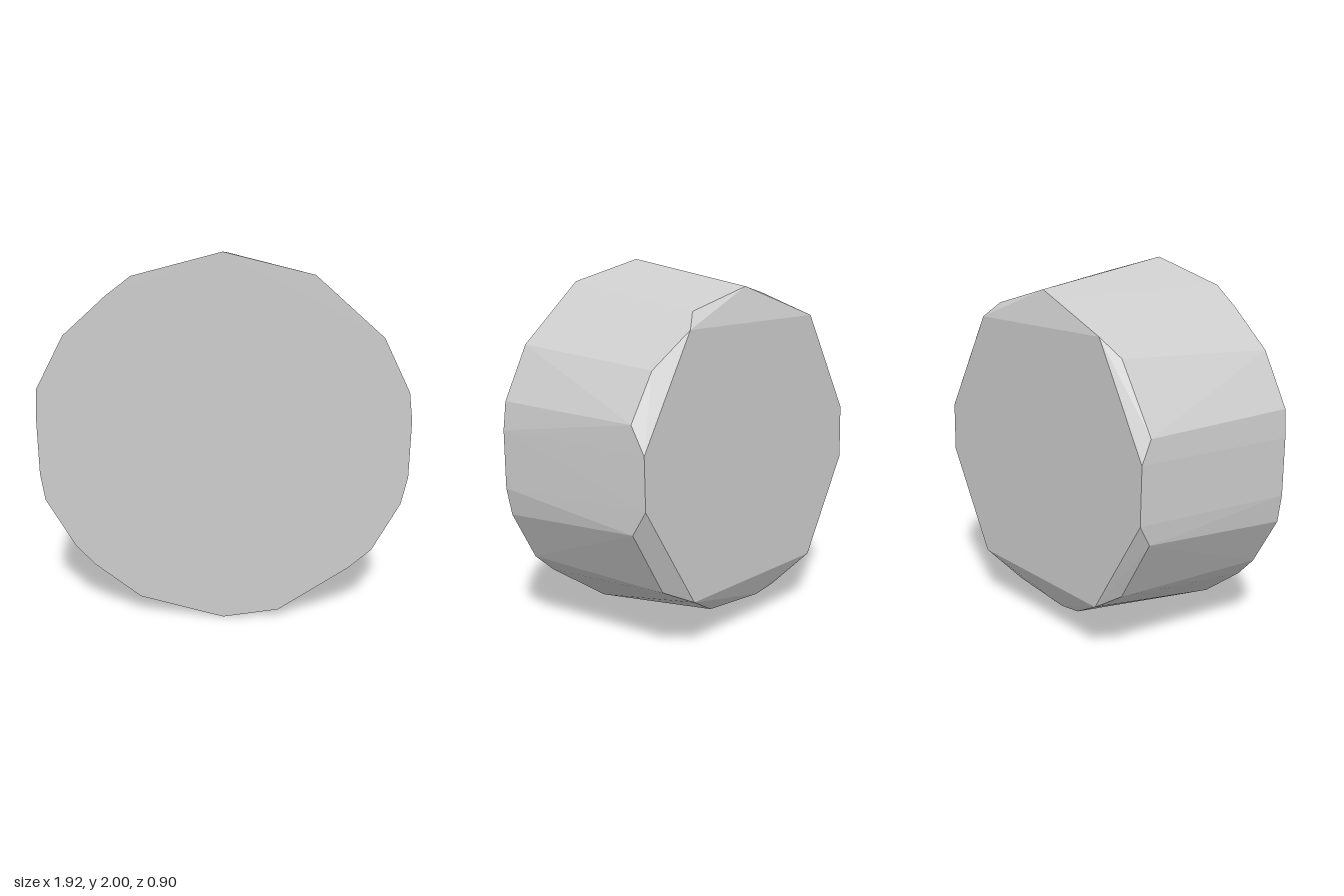
import * as THREE from 'three';
import { ConvexGeometry } from 'three/addons/geometries/ConvexGeometry.js';

// Outlines as [x, y], going clockwise from the top.
const frontRim = [
  [0, 2], [0.45, 1.89], [0.8, 1.58], [0.94, 1.3], [0.96, 1.15], [0.96, 0.84], [0.93, 0.69],
  [0.79, 0.42], [0.67, 0.31], [0.3, 0.05], [0, 0], [-0.45, 0.12], [-0.69, 0.31], [-0.79, 0.42],
  [-0.94, 0.69], [-0.96, 0.84], [-0.96, 1.15], [-0.95, 1.3], [-0.8, 1.58], [-0.58, 1.78], [-0.45, 1.88],
];
const bevelRim = [
  [0, 1.875], [0.4, 1.77], [0.68, 1.51], [0.82, 1.27], [0.82, 0.73], [0.62, 0.38], [0.26, 0.18],
  [-0.13, 0.15], [-0.27, 0.17], [-0.63, 0.39], [-0.83, 0.73], [-0.83, 1.26], [-0.62, 1.605], [-0.13, 1.84],
];
const backRim = [
  [0.48, 1.69], [0.81, 1.13], [0.81, 0.86], [0.48, 0.31],
  [-0.51, 0.31], [-0.83, 0.84], [-0.83, 1.14], [-0.51, 1.7],
];

// The back facet leans slightly toward the lower +x side.
const backDepth = (x, y) => -0.428 - 0.012 * x + 0.019 * (y - 1);

const ring = (outline, depth) => outline.map(([x, y]) => new THREE.Vector3(x, y, depth(x, y)));

export function createModel() {
  const group = new THREE.Group();
  group.name = 'facetedDrum';

  // Tapered, chipped body: flat front, bevelled edge and tilted back
  const points = [
    ...ring(frontRim, () => 0.45),
    ...ring(bevelRim, () => -0.36),
    ...ring(backRim, backDepth),
    new THREE.Vector3(0.08, 0.05, 0.04), // slight bulge on the underside
  ];
  const body = new THREE.Mesh(
    new ConvexGeometry(points),
    new THREE.MeshStandardMaterial({ color: 0xcccccc, flatShading: true })
  );
  body.name = 'body';
  group.add(body);
  return group;
}
